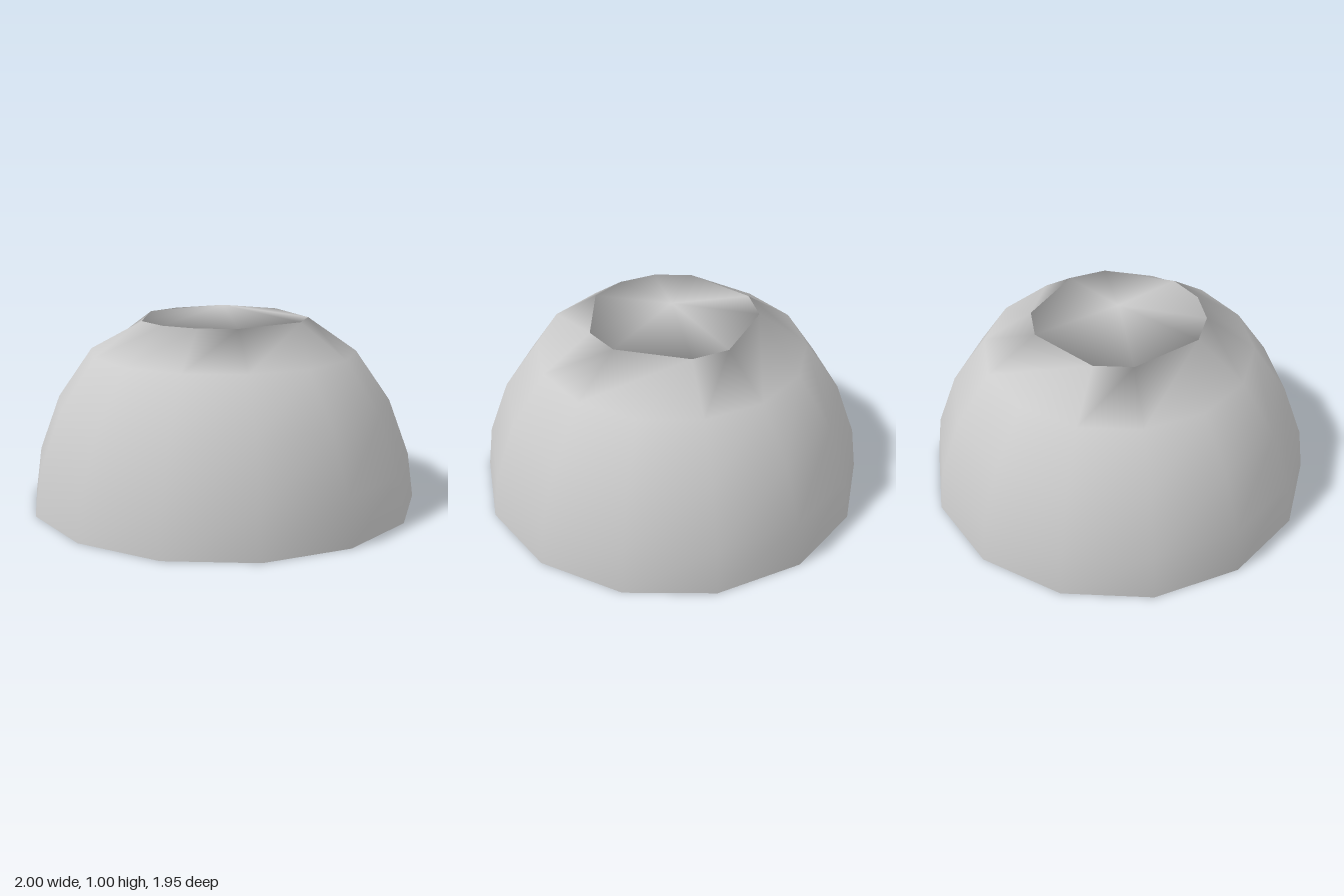
import * as THREE from 'three';

const SIDES = 14;
// Radius and height of each ring, from the open rim up
const PROFILE = [[1, 0], [0.967, 0.23], [0.86, 0.515], [0.682, 0.77], [0.435, 0.94]];
// Corners of the top ring that are merged into the one before
const MERGED = [1, 6, 9, 12];

export function createModel() {
  const group = new THREE.Group();
  group.name = 'dome';
  const gray = new THREE.MeshStandardMaterial({ color: 0xcccccc, side: THREE.DoubleSide });
  gray.name = 'light gray';

  const positions = [];
  const index = [];
  for (const [r, y] of PROFILE) {
    for (let i = 0; i < SIDES; i++) {
      const a = (i / SIDES) * Math.PI * 2;
      positions.push(r * Math.cos(a), y, r * Math.sin(a));
    }
  }
  const apex = positions.length / 3;
  positions.push(0, 1, 0);

  const top = PROFILE.length - 1;
  const corner = (ring, i) => {
    i %= SIDES;
    if (ring === top && MERGED.includes(i)) i -= 1;
    return ring * SIDES + i;
  };
  const face = (a, b, c) => {
    if (a !== b && b !== c && c !== a) index.push(a, b, c);
  };

  // Wall bands
  for (let ring = 0; ring < top; ring++) {
    for (let i = 0; i < SIDES; i++) {
      const a = corner(ring, i), b = corner(ring, i + 1);
      const c = corner(ring + 1, i), d = corner(ring + 1, i + 1);
      face(b, a, c);
      face(b, c, d);
    }
  }
  // Shallow cap, wound towards the inside so its rim shades as a soft dent
  for (let i = 0; i < SIDES; i++) face(apex, corner(top, i), corner(top, i + 1));

  const geometry = new THREE.BufferGeometry();
  geometry.setAttribute('position', new THREE.Float32BufferAttribute(positions, 3));
  geometry.setIndex(index);
  geometry.computeVertexNormals();

  const shell = new THREE.Mesh(geometry, gray);
  shell.name = 'domeShell';
  group.add(shell);
  return group;
}
